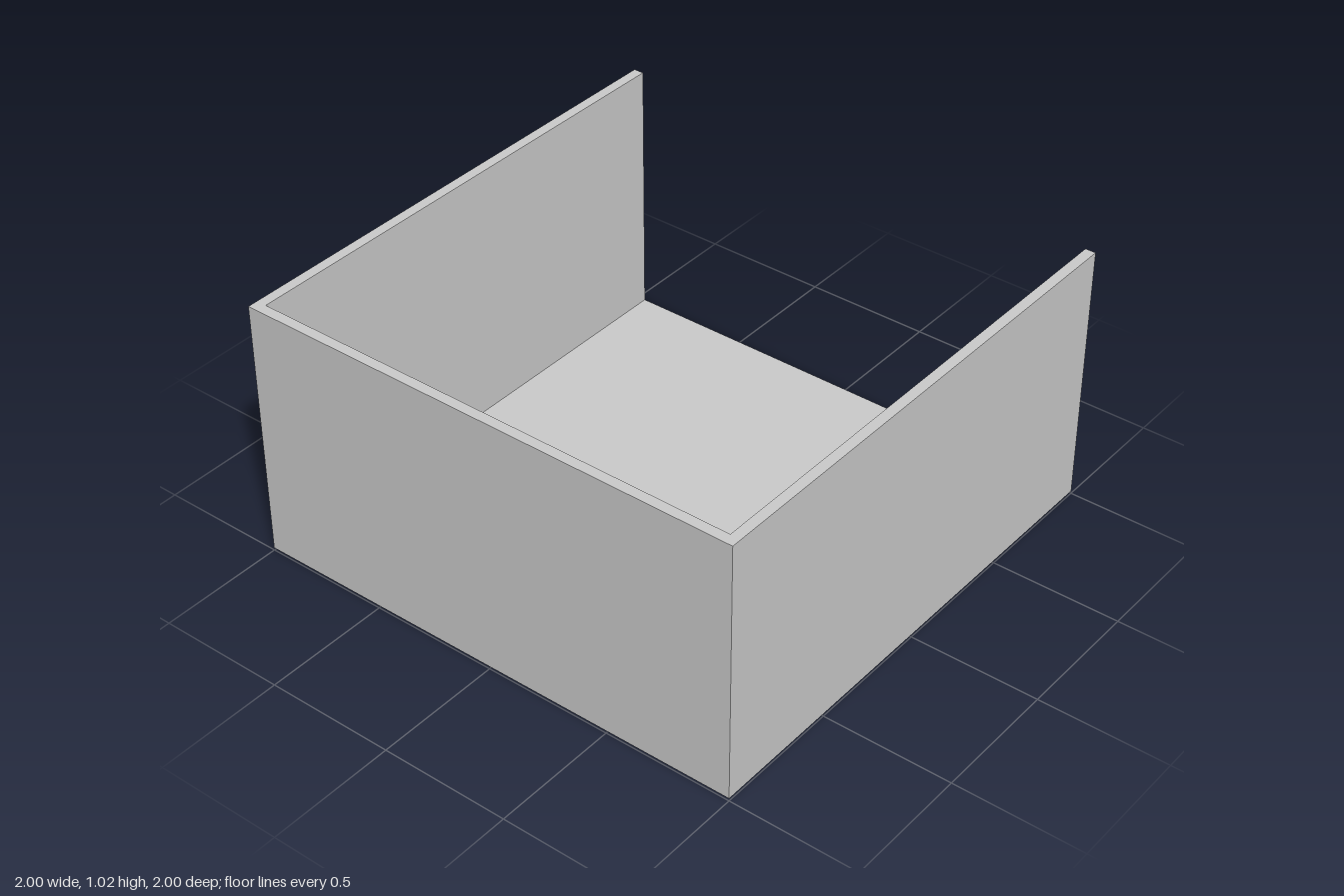
import * as THREE from 'three';

const grey = new THREE.MeshStandardMaterial({ color: 0xcccccc });
const thin = new THREE.MeshStandardMaterial({ color: 0xcccccc, side: THREE.DoubleSide });

const FLOOR = 0.01, TOP = 1.025, WALL = 0.04;

function add(parent, name, geometry, material = grey) {
  const mesh = new THREE.Mesh(geometry, material);
  mesh.name = name;
  parent.add(mesh);
  return mesh;
}

function wall(parent, name, width, depth, x, z) {
  const mesh = add(parent, name, new THREE.BoxGeometry(width, TOP - FLOOR, depth));
  mesh.position.set(x, (TOP + FLOOR) / 2, z);
}

// Arching ribbon along +x: rises from the pot, bends over and narrows at both ends
function leafGeometry(reach, peak, tip, width) {
  const curve = new THREE.CubicBezierCurve3(
    new THREE.Vector3(0.004, 0.05, 0),
    new THREE.Vector3(reach * 0.2, peak, 0),
    new THREE.Vector3(reach * 0.65, peak * 1.12, 0),
    new THREE.Vector3(reach, tip, 0));
  const geometry = new THREE.PlaneGeometry(1, 1, 8, 2);
  const pos = geometry.attributes.position;
  for (let i = 0; i < pos.count; i++) {
    const t = pos.getX(i) + 0.5, side = pos.getY(i) * 2;
    const p = curve.getPoint(t);
    const half = width / 2 * (0.3 + 0.7 * Math.min(1, t * 1.8)) * (t > 0.95 ? 0.75 : 1);
    pos.setXYZ(i, p.x, p.y - 0.003 * side * side, -side * half);
  }
  geometry.computeVertexNormals();
  return geometry;
}

export function createModel() {
  const model = new THREE.Group();
  model.name = 'room';

  // Thin floor slab with a slanted lower edge
  const floor = add(model, 'floor',
    new THREE.CylinderGeometry(Math.SQRT2, 0.98 * Math.SQRT2, FLOOR, 4, 1).rotateY(Math.PI / 4).toNonIndexed());
  floor.geometry.computeVertexNormals();
  floor.position.y = FLOOR / 2;

  // Three walls, open towards +x
  wall(model, 'backWall', 2, WALL, 0, -1 + WALL / 2);
  wall(model, 'frontWall', 2, WALL, 0, 1 - WALL / 2);
  wall(model, 'sideWall', WALL, 2 - 2 * WALL, -1 + WALL / 2, 0);

  // Potted plant in the back corner
  const plant = new THREE.Group();
  plant.name = 'plant';
  plant.position.set(-0.765, FLOOR - 0.003, -0.755);
  model.add(plant);

  const profile = [[0, 0], [0.016, 0], [0.022, 0.05], [0.019, 0.05], [0.018, 0.044], [0, 0.044]];
  add(plant, 'pot', new THREE.LatheGeometry(profile.map(([r, y]) => new THREE.Vector2(r, y)), 16), thin);

  // Leaves: heading in degrees, reach, peak height, tip height, width
  const leaves = [
    [50, 0.125, 0.14, 0.135, 0.034],
    [2, 0.095, 0.15, 0.09, 0.03],
    [-42, 0.09, 0.17, 0.115, 0.034],
    [-75, 0.06, 0.2, 0.185, 0.026],
    [-118, 0.105, 0.19, 0.15, 0.036],
    [-95, 0.085, 0.13, 0.11, 0.028],
    [-160, 0.09, 0.14, 0.11, 0.028],
    [178, 0.095, 0.16, 0.09, 0.03],
    [148, 0.08, 0.15, 0.13, 0.028],
    [92, 0.07, 0.16, 0.13, 0.032],
    [70, 0.08, 0.13, 0.08, 0.026],
  ];
  for (const [heading, ...size] of leaves) {
    add(plant, 'leaf', leafGeometry(...size), thin).rotation.y = THREE.MathUtils.degToRad(heading);
  }

  return model;
}
